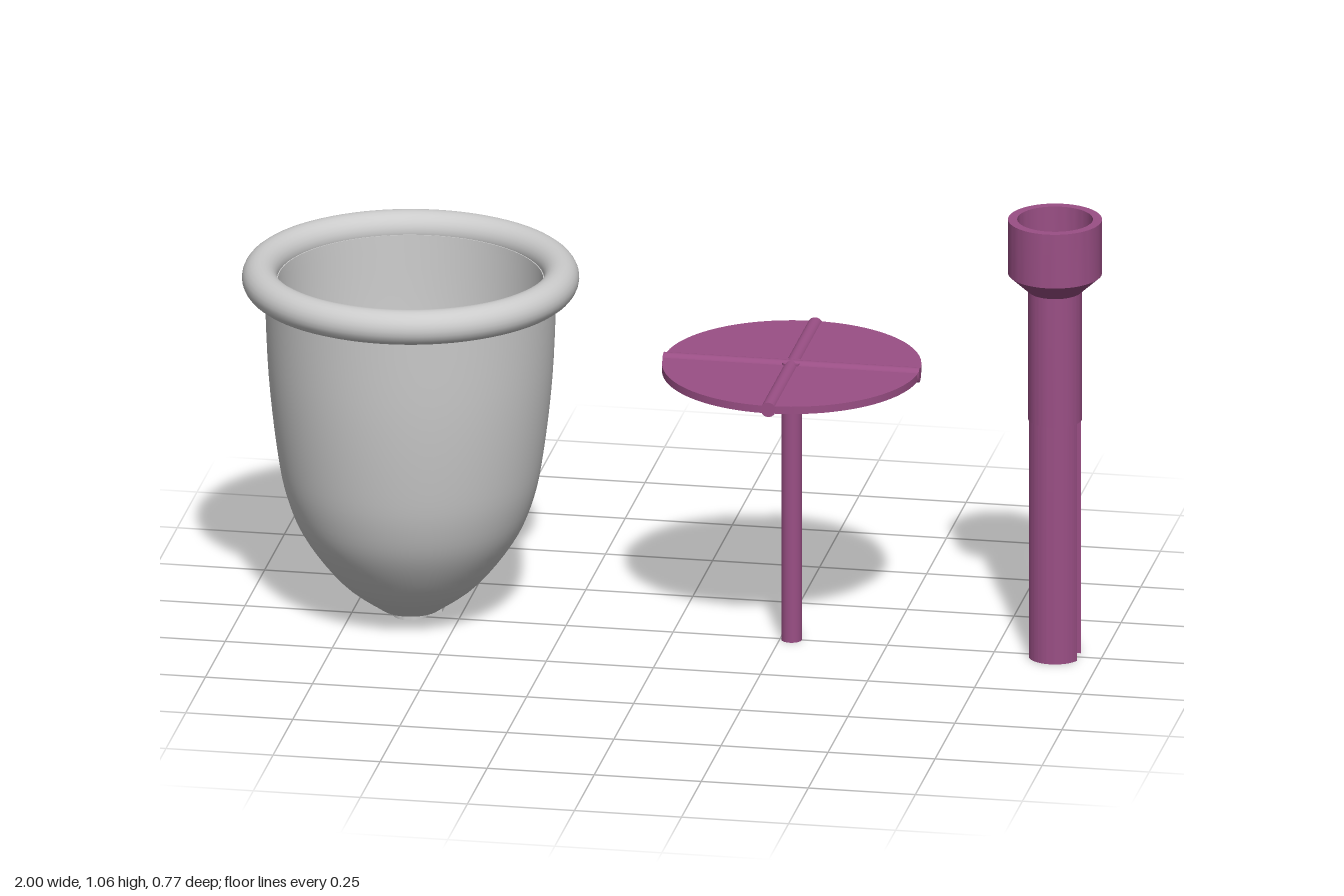
import * as THREE from 'three';
import { toCreasedNormals } from 'three/addons/utils/BufferGeometryUtils.js';

const grey = new THREE.MeshStandardMaterial({ color: 0xcccccc });
const plum = new THREE.MeshStandardMaterial({ color: 0x9a4f85 });

function addMesh(parent, name, geometry, material, x = 0, y = 0, z = 0) {
  const mesh = new THREE.Mesh(geometry, material);
  mesh.name = name;
  mesh.position.set(x, y, z);
  parent.add(mesh);
  return mesh;
}

const toPoints = (list) => list.map(([r, y]) => new THREE.Vector2(r, y));
const smooth = (list, n) => new THREE.SplineCurve(toPoints(list)).getPoints(n);
const lathe = (points, segments = 72) =>
  toCreasedNormals(new THREE.LatheGeometry(points, segments), 0.5);

// Bullet-shaped vessel with a rolled rim and a slotted drain
function createVessel() {
  const group = new THREE.Group();
  group.name = 'vessel';
  const outer = smooth([[0.068, 0.022], [0.16, 0.092], [0.243, 0.2], [0.285, 0.3],
    [0.308, 0.42], [0.327, 0.6], [0.336, 0.82]], 28);
  const inner = smooth([[0.305, 0.82], [0.297, 0.6], [0.278, 0.42], [0.255, 0.31],
    [0.215, 0.22], [0.14, 0.115], [0.068, 0.055]], 28);
  addMesh(group, 'vesselWall', lathe([...outer, ...inner, outer[0].clone()]), grey);

  const rim = addMesh(group, 'rolledRim', new THREE.TorusGeometry(0.347, 0.0405, 24, 80), grey, 0, 0.826);
  rim.rotation.x = Math.PI / 2;

  // Central drain ring, closed by a recessed floor and held by two bridges
  addMesh(group, 'drainHub', lathe(toPoints([[0, 0.003], [0.04, 0.003], [0.04, 0.045],
    [0.026, 0.045], [0.026, 0.03], [0, 0.03]]), 40), grey);
  for (const side of [1, -1]) {
    addMesh(group, 'drainBridge', new THREE.BoxGeometry(0.042, 0.026, 0.04), grey, side * 0.056, 0.033);
  }
  return group;
}

// Round plate with crossed rods on a thin stem
function createPlunger() {
  const group = new THREE.Group();
  group.name = 'plunger';
  const y = 0.663;
  addMesh(group, 'plate', new THREE.CylinderGeometry(0.298, 0.298, 0.018, 72), plum, 0, y);
  const rod = new THREE.CylinderGeometry(0.0175, 0.0175, 0.598, 24);
  addMesh(group, 'crossRod', rod, plum, 0, y).rotation.z = Math.PI / 2;
  addMesh(group, 'crossRod', rod, plum, 0, y).rotation.x = Math.PI / 2;
  addMesh(group, 'stem', new THREE.CylinderGeometry(0.024, 0.024, 0.677, 32), plum, 0, 0.3385);
  return group;
}

// Hollow tube with a funnel head and a slot up each side
function createTube() {
  const group = new THREE.Group();
  group.name = 'slottedTube';
  const R = 0.062, r = 0.049, slotHalf = 0.026, slotTop = 0.577;

  addMesh(group, 'funnelHead', lathe(toPoints([[r, slotTop], [R, slotTop], [R, 0.89],
    [0.108, 0.932], [0.108, 1.063], [0.087, 1.063], [0.087, 0.94], [r, 0.9], [r, slotTop]])), plum);

  const a = Math.asin(slotHalf / R), b = Math.asin(slotHalf / r);
  const section = new THREE.Shape();
  section.absarc(0, 0, R, a, Math.PI - a, false);
  section.absarc(0, 0, r, Math.PI - b, b, true);
  section.closePath();
  const half = toCreasedNormals(new THREE.ExtrudeGeometry(section,
    { depth: slotTop, bevelEnabled: false, curveSegments: 28 }), 0.5);
  half.rotateX(-Math.PI / 2);
  for (const turn of [0, Math.PI]) addMesh(group, 'tubeHalf', half, plum).rotation.y = turn;
  return group;
}

export function createModel() {
  const model = new THREE.Group();
  model.name = 'vesselSet';
  const vessel = createVessel();
  vessel.position.x = -0.613;
  const plunger = createPlunger();
  plunger.position.x = 0.277;
  const tube = createTube();
  tube.position.x = 0.892;
  model.add(vessel, plunger, tube);
  return model;
}
